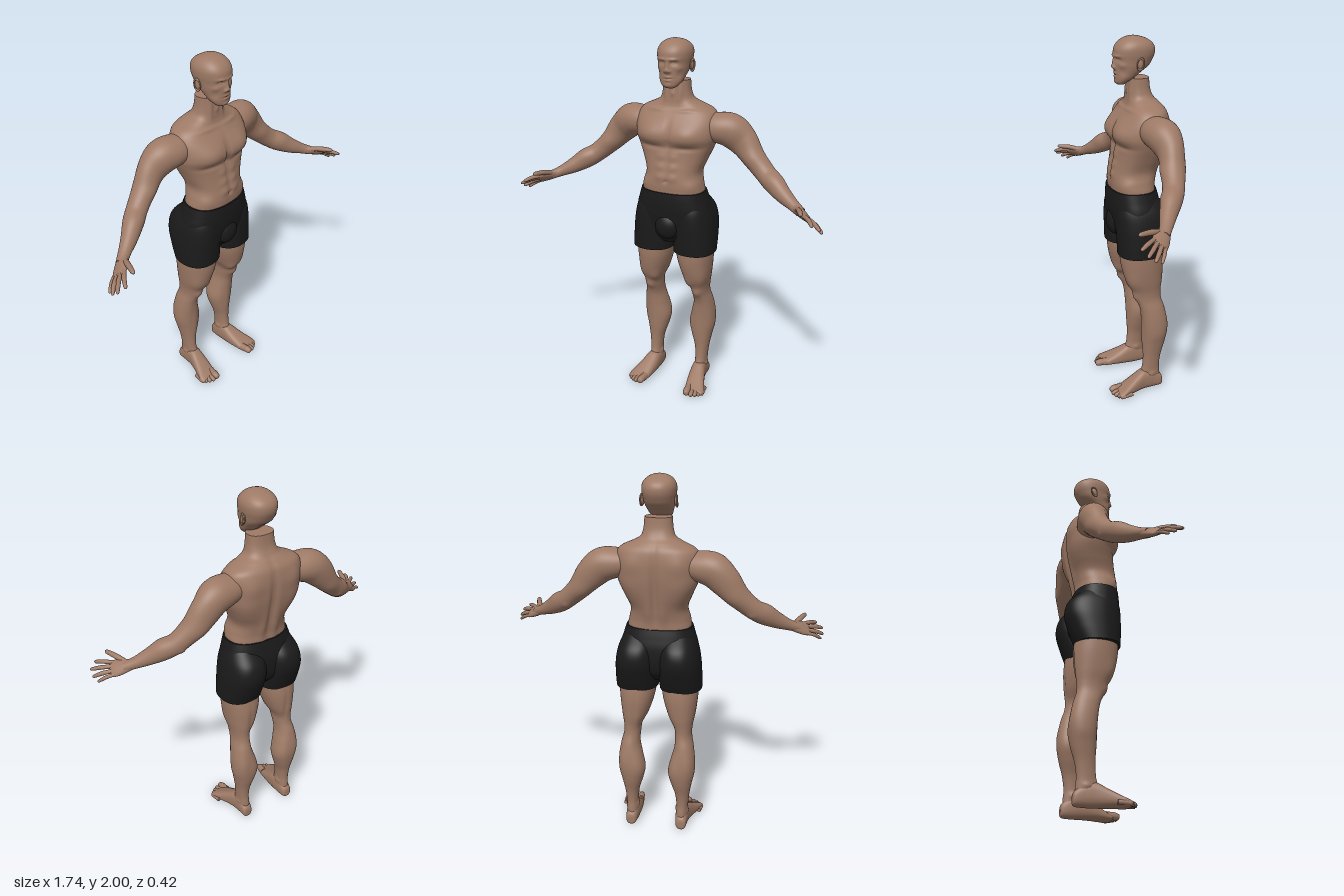
import * as THREE from 'three';

const V = (x, y, z) => new THREE.Vector3(x, y, z);
const bend = (c, e) => Math.sign(c) * Math.abs(c) ** (2 / e);

// Smoothly interpolate rows of numbers into n + 1 rows
function sample(rows, n) {
  const out = [], last = rows.length - 1;
  for (let i = 0; i <= n; i++) {
    const u = (i / n) * last, k = Math.min(Math.floor(u), last - 1), t = u - k;
    const [a, b, c, d] = [-1, 0, 1, 2].map(o => rows[Math.max(0, Math.min(last, k + o))]);
    out.push(b.map((_, j) => 0.5 * (2 * b[j] + (c[j] - a[j]) * t
      + (2 * a[j] - 5 * b[j] + 4 * c[j] - d[j]) * t * t
      + (3 * b[j] - a[j] - 3 * c[j] + d[j]) * t ** 3)));
  }
  return out;
}

// Join closed rings of points into a capped surface
function skinRings(rings) {
  const pos = [], index = [], m = rings[0].length, n = rings.length;
  const put = p => pos.push(p.x, p.y, p.z) / 3 - 1;
  rings.forEach(r => r.forEach(put));
  for (let i = 0; i < n - 1; i++) for (let j = 0; j < m; j++) {
    const a = i * m + j, b = i * m + (j + 1) % m;
    index.push(a, a + m, b, b, a + m, b + m);
  }
  for (const [ring, top] of [[rings[0], false], [rings[n - 1], true]]) {
    const mid = put(ring.reduce((s, p) => s.add(p), V(0, 0, 0)).divideScalar(m));
    const first = pos.length / 3;
    ring.forEach(put);
    for (let j = 0; j < m; j++) {
      const a = first + j, b = first + (j + 1) % m;
      index.push(mid, top ? b : a, top ? a : b);
    }
  }
  const g = new THREE.BufferGeometry();
  g.setAttribute('position', new THREE.Float32BufferAttribute(pos, 3));
  g.setIndex(index);
  g.computeVertexNormals();
  return g;
}

// Horizontal slices: [y, xMin, xMax, zMin, zMax]
function stack(rows, n, m, e = 2.2) {
  return skinRings(sample(rows, n).map(([y, x0, x1, z0, z1]) => Array.from({ length: m }, (_, j) => {
    const t = (j / m) * Math.PI * 2;
    return V((x0 + x1) / 2 + (x1 - x0) / 2 * bend(Math.cos(t), e), y,
      (z0 + z1) / 2 + (z1 - z0) / 2 * bend(Math.sin(t), e));
  })));
}
const centred = rows => rows.map(([y, w, z0, z1]) => [y, -w, w, z0, z1]);

// Slices along a path: [x, y, z, radius along up, radius across]
function limb(rows, n, m, up = V(0, 1, 0)) {
  const s = sample(rows, n), at = i => V(...s[Math.max(0, Math.min(n, i))].slice(0, 3));
  return skinRings(s.map((r, i) => {
    const T = at(i + 1).sub(at(i - 1)).normalize();
    const U = up.clone().addScaledVector(T, -up.dot(T)).normalize(), W = U.clone().cross(T);
    return Array.from({ length: m }, (_, j) => {
      const t = (j / m) * Math.PI * 2;
      return at(i).addScaledVector(U, r[3] * Math.cos(t)).addScaledVector(W, r[4] * Math.sin(t));
    });
  }));
}

// Round-ended finger or toe through a few points
function digit(points, r, up) {
  const path = new THREE.CatmullRomCurve3(points);
  const rows = [[0, 1], [0.25, 0.95], [0.5, 1], [0.75, 0.9], [0.9, 0.78], [0.97, 0.5], [1, 0.1]]
    .map(([t, k]) => [...path.getPoint(t).toArray(), r * k, r * k]);
  return limb(rows, 18, 12, up);
}

// Raise or sink muscles and features: [x, y, z, sizeX, sizeY, sizeZ, amount], on both sides
function sculpt(g, bumps) {
  const p = g.attributes.position, nor = g.attributes.normal;
  const all = bumps.flatMap(b => (b[0] ? [b, [-b[0], ...b.slice(1)]] : [b]));
  for (let i = 0; i < p.count; i++) {
    const v = V().fromBufferAttribute(p, i);
    let h = 0;
    for (const [x, y, z, a, b, c, k] of all)
      h += k * Math.exp(-(((v.x - x) / a) ** 2) - ((v.y - y) / b) ** 2 - ((v.z - z) / c) ** 2);
    v.addScaledVector(V().fromBufferAttribute(nor, i), h);
    p.setXYZ(i, v.x, v.y, v.z);
  }
  g.computeVertexNormals();
  return g;
}

function mirrored(g) {
  const c = g.clone().scale(-1, 1, 1), ix = c.index.array;
  for (let i = 0; i < ix.length; i += 3) [ix[i], ix[i + 1]] = [ix[i + 1], ix[i]];
  c.computeVertexNormals();
  return c;
}

export function createModel() {
  const model = new THREE.Group();
  model.name = 'athleticMan';
  const skin = new THREE.MeshStandardMaterial({ color: 0x9e7a66 });
  skin.name = 'skin';
  const cloth = new THREE.MeshStandardMaterial({ color: 0x1a1a1a });
  cloth.name = 'blackCloth';
  const add = (name, g, mat = skin) => {
    const mesh = new THREE.Mesh(g, mat);
    mesh.name = name;
    model.add(mesh);
  };
  const pair = (name, g, mat) => {
    add('left' + name, g, mat);
    add('right' + name, mirrored(g), mat);
  };

  // Head and face
  add('head', sculpt(stack(centred([
    [1.757, 0.025, 0.015, 0.048], [1.768, 0.042, 0, 0.058], [1.79, 0.059, -0.035, 0.062],
    [1.82, 0.07, -0.075, 0.063], [1.85, 0.078, -0.115, 0.064], [1.88, 0.083, -0.135, 0.065],
    [1.91, 0.088, -0.147, 0.068], [1.94, 0.088, -0.147, 0.064], [1.965, 0.078, -0.132, 0.048],
    [1.985, 0.057, -0.1, 0.022], [1.996, 0.03, -0.065, -0.007], [2, 0.006, -0.04, -0.028],
  ]), 90, 112), [
    [0, 1.872, 0.065, 0.011, 0.025, 0.05, 0.011], [0, 1.848, 0.07, 0.013, 0.013, 0.05, 0.013], // nose
    [0.013, 1.843, 0.065, 0.008, 0.008, 0.04, 0.006],
    [0.033, 1.884, 0.06, 0.017, 0.01, 0.04, -0.011], [0.033, 1.882, 0.06, 0.009, 0.006, 0.04, 0.005], // eyes
    [0.03, 1.903, 0.065, 0.024, 0.007, 0.04, 0.006], // brow
    [0, 1.814, 0.065, 0.02, 0.006, 0.04, 0.005], [0, 1.806, 0.065, 0.022, 0.0035, 0.04, -0.005], // lips
    [0, 1.798, 0.065, 0.016, 0.006, 0.04, 0.005], [0, 1.772, 0.06, 0.02, 0.012, 0.04, 0.005],
    [0.055, 1.858, 0.04, 0.016, 0.013, 0.04, 0.004], [0.055, 1.825, 0.03, 0.015, 0.018, 0.04, -0.004], // cheeks
  ]));
  const place = g => g.rotateX(-0.2).translate(0.087, 1.866, -0.046);
  pair('Ear', place(new THREE.SphereGeometry(1, 20, 14).scale(0.009, 0.029, 0.017)));
  pair('EarRim', place(new THREE.TorusGeometry(0.022, 0.0045, 8, 28).scale(0.75, 1.3, 1)
    .rotateY(Math.PI / 2 - 0.25).translate(0.005, 0, 0)));

  // Torso, shoulders' slope and neck
  add('torso', sculpt(stack(centred([
    [1.12, 0.165, -0.135, 0.085], [1.2, 0.172, -0.14, 0.092], [1.25, 0.163, -0.143, 0.096],
    [1.31, 0.153, -0.158, 0.09], [1.38, 0.178, -0.178, 0.077], [1.45, 0.208, -0.192, 0.07],
    [1.5, 0.222, -0.198, 0.08], [1.56, 0.225, -0.2, 0.065], [1.61, 0.215, -0.195, 0.035],
    [1.64, 0.19, -0.185, 0.012], [1.665, 0.135, -0.165, 0.003], [1.69, 0.092, -0.14, 0],
    [1.73, 0.077, -0.122, -0.003], [1.79, 0.072, -0.115, -0.005],
  ]), 110, 120, 2.4), [
    [0.1, 1.515, 0.07, 0.075, 0.05, 0.08, 0.02], [0.1, 1.447, 0.07, 0.08, 0.012, 0.06, -0.008], // chest
    [0, 1.51, 0.08, 0.012, 0.08, 0.05, -0.012], [0, 1.35, 0.09, 0.008, 0.12, 0.05, -0.005],
    ...[1.4, 1.345, 1.29].map(y => [0.036, y, 0.09, 0.025, 0.022, 0.04, 0.007]), // abdomen
    [0, 1.268, 0.1, 0.009, 0.009, 0.03, -0.01], [0.13, 1.24, 0.03, 0.03, 0.03, 0.06, 0.007],
    [0.09, 1.635, 0.02, 0.07, 0.01, 0.05, 0.007], // collar bones
    [0.04, 1.72, -0.01, 0.012, 0.05, 0.03, 0.005], [0, 1.72, 0, 0.01, 0.015, 0.03, 0.006], // neck
    [0, 1.42, -0.19, 0.018, 0.2, 0.05, -0.02], [0.04, 1.28, -0.15, 0.022, 0.08, 0.05, 0.008], // spine
    [0.13, 1.45, -0.15, 0.06, 0.09, 0.06, 0.012], [0.12, 1.56, -0.17, 0.05, 0.05, 0.05, 0.01], // back
  ]));

  // Arms
  pair('Arm', sculpt(limb([
    [0.13, 1.55, -0.085, 0.06, 0.07], [0.22, 1.546, -0.088, 0.08, 0.087], [0.29, 1.532, -0.1, 0.088, 0.083],
    [0.355, 1.48, -0.11, 0.081, 0.068], [0.425, 1.4, -0.098, 0.061, 0.058], [0.5, 1.332, -0.072, 0.053, 0.054],
    [0.555, 1.296, -0.04, 0.054, 0.052], [0.62, 1.256, 0, 0.043, 0.042], [0.68, 1.225, 0.033, 0.03, 0.032],
    [0.73, 1.203, 0.064, 0.024, 0.028],
  ], 80, 56), [
    [0.31, 1.56, -0.1, 0.06, 0.06, 0.08, 0.008], [0.42, 1.405, -0.04, 0.05, 0.04, 0.04, 0.008],
    [0.4, 1.39, -0.16, 0.06, 0.05, 0.04, 0.007], [0.56, 1.32, -0.02, 0.05, 0.03, 0.05, 0.006],
    [0.495, 1.3, -0.12, 0.018, 0.018, 0.03, 0.006],
  ]));

  // Hands: palm, four fingers and thumb
  const across = V(-0.317, 0.6, 0.737), along = V(0.77, -0.294, 0.566), wrist = V(0.7, 1.215, 0.045);
  const inHand = (s, a) => wrist.clone().addScaledVector(along, s).addScaledVector(across, a);
  pair('Palm', limb([[-0.01, 0.026, 0.02], [0.03, 0.036, 0.023], [0.07, 0.044, 0.019], [0.1, 0.043, 0.014], [0.115, 0.034, 0.008]]
    .map(([s, u, v]) => [...inHand(s, 0).toArray(), u, v]), 24, 28, across));
  [[0.031, V(0.828, 1.19, 0.207)], [0.011, V(0.863, 1.167, 0.187)],
    [-0.011, V(0.868, 1.143, 0.154)], [-0.031, V(0.858, 1.128, 0.12)]].forEach(([a, tip], i) => {
    const base = inHand(0.09, a);
    const mid = base.clone().lerp(tip, 0.5).add(V(0.003, 0.006, -0.002));
    pair('Finger' + (i + 1), digit([base, mid, tip], i === 3 ? 0.0095 : 0.0115, across));
  });
  pair('Thumb', digit([inHand(0.02, 0.012), V(0.738, 1.232, 0.125), V(0.767, 1.238, 0.198)], 0.0145, V(0, 1, 0)));

  // Shorts
  add('shortsSeat', stack(centred([
    [0.91, 0.1, -0.11, 0.05], [0.96, 0.18, -0.155, 0.08], [1.02, 0.218, -0.172, 0.092],
    [1.1, 0.212, -0.172, 0.102], [1.16, 0.194, -0.16, 0.103], [1.205, 0.18, -0.148, 0.1],
  ]), 40, 80, 2.4), cloth);
  pair('ShortsLeg', stack([
    [0.855, 0.006, 0.238, -0.158, 0.085], [0.93, 0.002, 0.237, -0.188, 0.088], [1.02, 0, 0.231, -0.214, 0.09],
    [1.1, 0.008, 0.214, -0.198, 0.085], [1.17, 0.03, 0.18, -0.13, 0.06],
  ], 36, 64, 2.3), cloth);
  add('shortsPouch', new THREE.SphereGeometry(1, 32, 24).scale(0.072, 0.078, 0.052).translate(0, 1.012, 0.063), cloth);

  // Legs
  pair('Leg', sculpt(stack([
    [0.05, 0.112, 0.176, -0.155, -0.055], [0.1, 0.112, 0.178, -0.152, -0.04], [0.15, 0.113, 0.18, -0.148, -0.05],
    [0.22, 0.105, 0.187, -0.157, -0.054], [0.3, 0.081, 0.202, -0.178, -0.05], [0.37, 0.068, 0.216, -0.187, -0.047],
    [0.45, 0.084, 0.215, -0.182, -0.042], [0.52, 0.1, 0.205, -0.17, -0.032], [0.58, 0.1, 0.192, -0.152, -0.01],
    [0.63, 0.092, 0.193, -0.15, 0.008], [0.7, 0.057, 0.205, -0.16, 0.046], [0.8, 0.026, 0.217, -0.165, 0.07],
    [0.9, 0.012, 0.222, -0.155, 0.075],
  ], 100, 64), [
    [0.146, 0.6, 0, 0.028, 0.03, 0.03, 0.011], // kneecap
    [0.1, 0.66, 0.02, 0.03, 0.035, 0.04, 0.01], [0.185, 0.7, 0.02, 0.03, 0.06, 0.04, 0.006], // thigh
    [0.12, 0.72, -0.16, 0.012, 0.1, 0.04, -0.006],
    [0.1, 0.4, -0.17, 0.035, 0.07, 0.05, 0.006], [0.18, 0.42, -0.17, 0.03, 0.06, 0.05, 0.006], // calf
    [0.14, 0.35, -0.045, 0.015, 0.12, 0.03, 0.004],
    [0.112, 0.115, -0.1, 0.015, 0.015, 0.02, 0.007], [0.18, 0.1, -0.1, 0.015, 0.015, 0.02, 0.007], // ankle
  ]));

  // Feet, sliced from heel to toes, then laid flat
  pair('Foot', stack([
    [-0.166, 0.133, 0.162, -0.055, -0.018], [-0.155, 0.117, 0.175, -0.08, -0.004], [-0.1, 0.108, 0.182, -0.12, 0],
    [-0.05, 0.106, 0.19, -0.122, 0], [0, 0.108, 0.206, -0.095, 0], [0.05, 0.115, 0.225, -0.066, 0],
    [0.085, 0.122, 0.238, -0.046, 0], [0.108, 0.128, 0.236, -0.034, -0.003], [0.115, 0.14, 0.225, -0.025, -0.01],
  ], 50, 40, 2.5).rotateX(Math.PI / 2));
  [[0.15, 0.15, 0.021], [0.178, 0.147, 0.015], [0.199, 0.137, 0.014], [0.217, 0.124, 0.013], [0.232, 0.108, 0.012]]
    .forEach(([x, z, r], i) => pair('Toe' + (i + 1),
      digit([V(x - 0.008, r + 0.008, z - 0.07), V(x - 0.003, r + 0.006, z - 0.03), V(x, r, z)], r)));

  return model;
}
